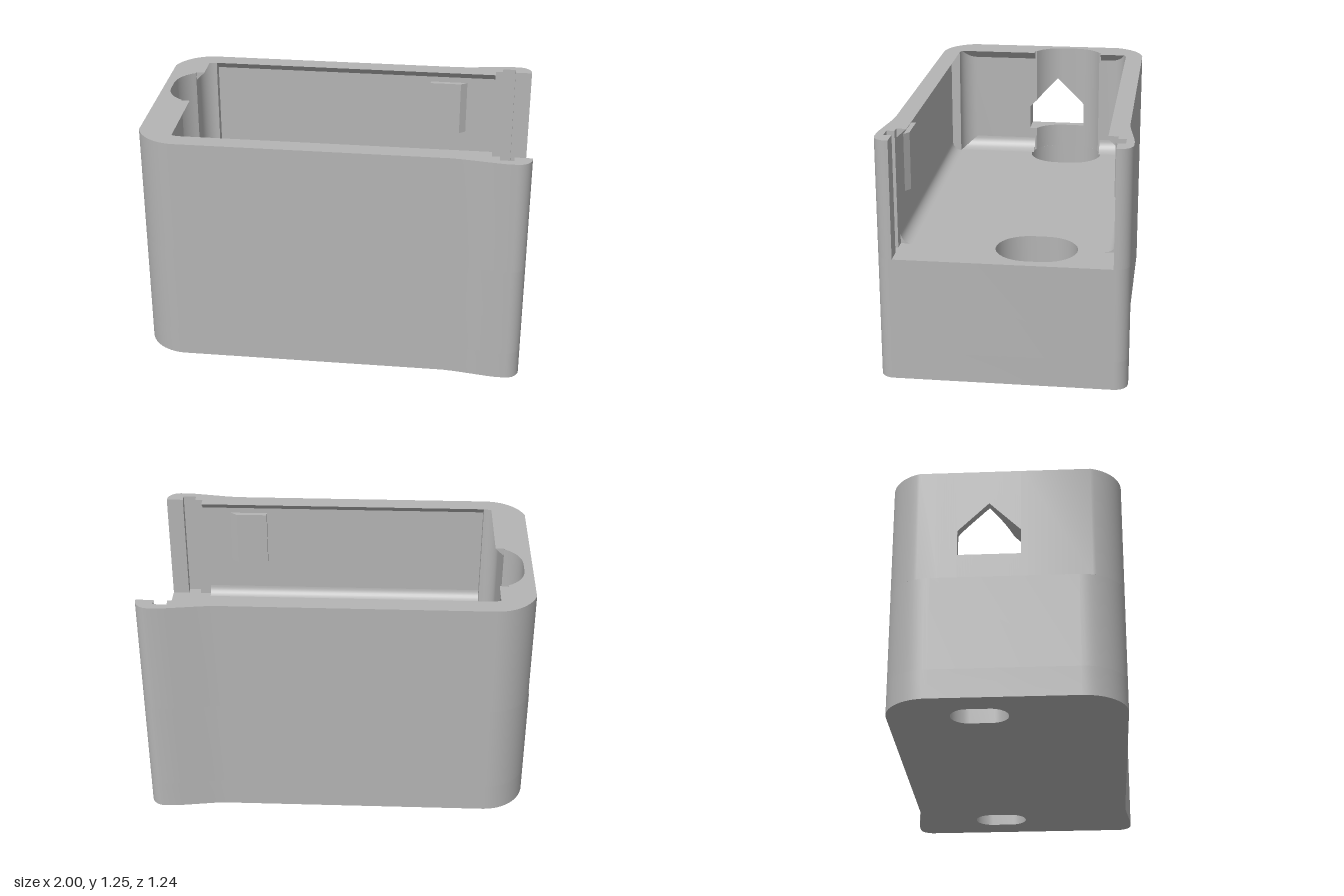
import * as THREE from 'three';
import { toCreasedNormals } from 'three/addons/utils/BufferGeometryUtils.js';

const FLOOR = 0.64, TOP = 1.245, LEDGE = 0.15;
const BORE = { x: 0.775, z: -0.145, r: 0.17, h: 0.035 };
const SLOT = { x: 0.775, z: -0.132, r: 0.088, h: 0.055 };

// points of an arc as [x, z]
function arc(cx, cz, rx, rz, a0, a1, n = 12) {
  return Array.from({ length: n + 1 }, (_, i) => {
    const a = a0 + (a1 - a0) * i / n;
    return [cx + rx * Math.cos(a), cz + rz * Math.sin(a)];
  });
}

// oblong hole outline, long in z
function oval(o, side) {
  return [
    ...arc(side * o.x, o.z + o.h, o.r, o.r, 0, Math.PI, 20),
    ...arc(side * o.x, o.z - o.h, o.r, o.r, Math.PI, 2 * Math.PI, 20),
  ];
}

const toVec = (pts, sx = 1, sy = 1) => pts.map(([a, b]) => new THREE.Vector2(a * sx, b * sy));

function extrude(vecs, depth, holes = []) {
  const shape = new THREE.Shape(vecs);
  shape.holes = holes.map(h => new THREE.Path(h));
  return new THREE.ExtrudeGeometry(shape, { depth, bevelEnabled: false });
}

// plan outline [x, z] raised from y0 to y1
function raise(pts, y0, y1, holes = []) {
  const g = extrude(toVec(pts, 1, -1), y1 - y0, holes.map(h => toVec(h, 1, -1)));
  return g.rotateX(-Math.PI / 2).translate(0, y0, 0);
}

// [z, y] profile run along x
const alongX = (pts, x0, x1) =>
  extrude(toVec(pts, -1, 1), x1 - x0).rotateY(Math.PI / 2).translate(x0, 0, 0);

// [x, y] profile run along z
const alongZ = (pts, z0, z1) => extrude(toVec(pts), z1 - z0).translate(0, 0, z0);

// four-sided section(z) lofted through the listed z values, capped
function loft(zs, section) {
  const pos = [], index = [];
  zs.forEach(z => section(z).forEach(([x, y]) => pos.push(x, y, z)));
  for (let i = 0; i < zs.length - 1; i++) {
    for (let j = 0; j < 4; j++) {
      const a = i * 4 + j, b = i * 4 + (j + 1) % 4;
      index.push(a, b, b + 4, a, b + 4, a + 4);
    }
  }
  const e = (zs.length - 1) * 4;
  index.push(0, 2, 1, 0, 3, 2, e, e + 1, e + 2, e, e + 2, e + 3);
  const g = new THREE.BufferGeometry();
  g.setAttribute('position', new THREE.Float32BufferAttribute(pos, 3));
  g.setIndex(index);
  return g;
}

// concave quarter-round between a wall at a and the floor; dir points into the cavity
function fillet(a, dir, r) {
  const curve = arc(a + dir * r, FLOOR + r, dir * r, r, 1.5 * Math.PI, Math.PI, 8);
  return [[a, FLOOR], ...curve];
}

// half outline from the flat end to the flared open end
const flare = [[0.6, 0.585], [0.66, 0.59], [0.75, 0.603], [0.84, 0.616], [0.88, 0.62]];
const openCorner = arc(0.93, 0.55, 0.07, 0.07, Math.PI / 2, 0, 8);
const halfOutline = start =>
  [...arc(-0.78, 0.365, 0.22, 0.22, start, Math.PI / 2, 16), ...flare, ...openCorner];

export function createModel() {
  const group = new THREE.Group();
  const grey = new THREE.MeshStandardMaterial({ color: 0xb4b4b4 });
  grey.name = 'grey plastic';
  const add = (name, geometry) => {
    const mesh = new THREE.Mesh(toCreasedNormals(geometry, 0.5), grey);
    mesh.name = name;
    group.add(mesh);
  };

  // solid base with stepped screw holes
  const half = halfOutline(Math.PI);
  const outline = [...half, ...half.map(([x, z]) => [x, -z]).reverse()];
  add('baseBottom', raise(outline, 0, LEDGE, [oval(SLOT, -1), oval(SLOT, 1)]));
  add('baseBlock', raise(outline, LEDGE, FLOOR, [oval(BORE, -1), oval(BORE, 1)]));

  // side walls, lips, fillets and catches, mirrored front and back
  const upperHalf = halfOutline(Math.PI - Math.acos(0.21 / 0.22));
  for (const [s, side, zEnd, zBore] of [[1, 'front', 0.08, 0.05], [-1, 'back', 0.33, 0.34]]) {
    const flip = pts => pts.map(([x, z]) => [x, s * z]);
    const wall = [
      [-0.99, zEnd], ...upperHalf,
      [1, 0.54], [0.91, 0.54], [0.91, 0.58], [0.84, 0.58], [0.84, 0.54], [-0.77, 0.54],
      ...arc(-0.77, 0.4, 0.085, 0.09, Math.PI / 2, Math.PI, 8), [-0.855, zEnd],
    ];
    add(side + 'Wall', raise(flip(wall), FLOOR, TOP));

    const lip = [[s * 0.54, 1.2], [s * 0.54, TOP], [s * 0.49, TOP]];
    add(side + 'Lip', alongX(lip, -0.81, 0.8));
    add(side + 'FloorFillet', alongX(fillet(s * 0.54, -s, 0.055), -0.77, 0.78));

    const catchPlan = [[0.44, 0.545], [0.44, 0.515], [0.61, 0.515], [0.645, 0.54], [0.645, 0.545]];
    add(side + 'Catch', raise(flip(catchPlan), 0.87, 1.17));

    // end wall lip and floor fillet beside the screw channel
    const z0 = s > 0 ? zBore : -0.49, z1 = s > 0 ? 0.49 : -zBore;
    add(side + 'EndLip', alongZ([[-0.855, 1.2], [-0.81, TOP], [-0.855, TOP]], z0, z1));
    add(side + 'EndFillet', alongZ(fillet(-0.855, 1, 0.07), z0, z1));
  }

  // end wall hollowed by the screw channel, pierced by a gabled window
  const inner = z => {
    const d = Math.max(0, Math.abs(z - BORE.z) - BORE.h);
    return Math.min(-0.855, -BORE.x - Math.sqrt(Math.max(0, BORE.r ** 2 - d * d)));
  };
  const limit = z => (z > 0.04 || z < -0.33 ? -0.855 : inner(z));
  const roof = z => 1.06 - Math.abs(z + 0.0775) * 0.984;
  const band = (low, high) => z =>
    [[-0.99, low(z)], [limit(z), low(z)], [limit(z), high(z)], [-0.99, high(z)]];
  const steps = (a, b, n) => Array.from({ length: n + 1 }, (_, i) => a + (b - a) * i / n);
  const windowSteps = [...steps(-0.235, -0.0775, 12), ...steps(-0.0775, 0.08, 16).slice(1)];
  const floor = () => FLOOR, sill = () => 0.77, top = () => TOP;
  add('windowPier', loft(steps(-0.33, -0.235, 8), band(floor, top)));
  add('windowSill', loft(windowSteps, band(floor, sill)));
  add('windowHead', loft(windowSteps, band(roof, top)));

  return group;
}
